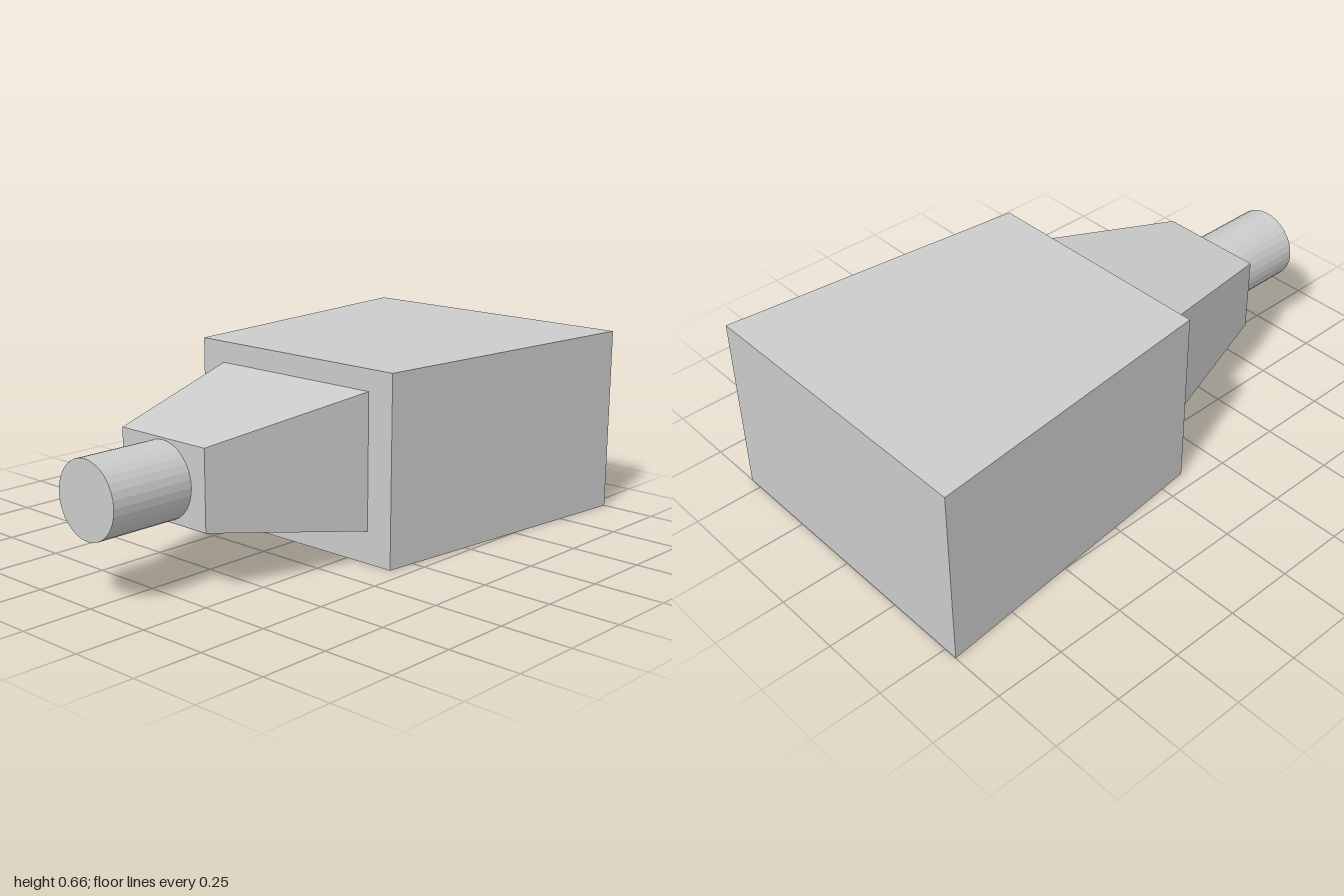
import * as THREE from 'three';

const material = new THREE.MeshStandardMaterial({ color: 0xcccccc, flatShading: true });

// Box along z whose back and front ends have their own size: { z, w, y0, y1 }
function taperedBox(name, back, front) {
  const geometry = new THREE.BoxGeometry(1, 1, 1);
  const p = geometry.attributes.position;
  for (let i = 0; i < p.count; i++) {
    const end = p.getZ(i) > 0 ? front : back;
    p.setXYZ(i, p.getX(i) * end.w, p.getY(i) > 0 ? end.y1 : end.y0, end.z);
  }
  geometry.computeVertexNormals();
  const mesh = new THREE.Mesh(geometry, material);
  mesh.name = name;
  return mesh;
}

export function createModel() {
  const model = new THREE.Group();
  model.name = 'taperedBodyWithNozzle';

  // Main body, narrower towards the front
  model.add(taperedBox('body',
    { z: -1, w: 1.1, y0: 0, y1: 0.662 },
    { z: 0.104, w: 0.88, y0: 0, y1: 0.662 }));

  // Neck, tapering on all four sides
  model.add(taperedBox('neck',
    { z: 0.104, w: 0.68, y0: 0.113, y1: 0.587 },
    { z: 0.692, w: 0.386, y0: 0.213, y1: 0.485 }));

  // Round nozzle at the front
  const nozzle = new THREE.Mesh(new THREE.CylinderGeometry(0.131, 0.131, 0.308, 32), material);
  nozzle.name = 'nozzle';
  nozzle.rotation.x = Math.PI / 2;
  nozzle.position.set(0, 0.347, 0.846);
  model.add(nozzle);

  return model;
}
